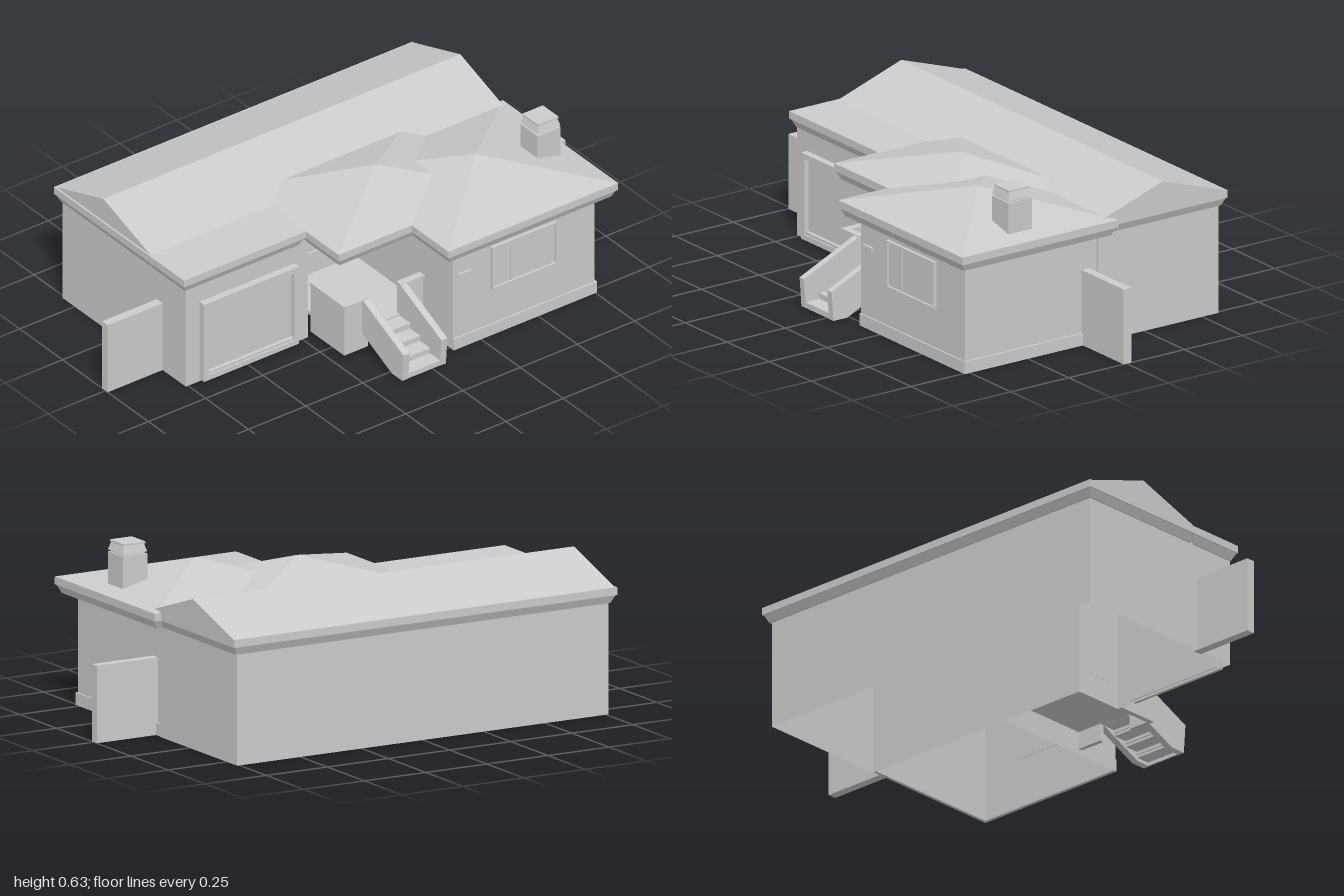
import * as THREE from 'three';
import { ConvexGeometry } from 'three/addons/geometries/ConvexGeometry.js';

const mat = new THREE.MeshStandardMaterial({ color: 0xcccccc, flatShading: true });
const thin = new THREE.MeshStandardMaterial({ color: 0xcccccc, flatShading: true, side: THREE.DoubleSide });

export function createModel() {
  const house = new THREE.Group();
  house.name = 'house';

  const add = (name, geometry, material = mat) => {
    const mesh = new THREE.Mesh(geometry, material);
    mesh.name = name;
    house.add(mesh);
    return mesh;
  };
  // box from its minimum and maximum corners
  const box = (name, x0, x1, y0, y1, z0, z1) =>
    add(name, new THREE.BoxGeometry(x1 - x0, y1 - y0, z1 - z0))
      .position.set((x0 + x1) / 2, (y0 + y1) / 2, (z0 + z1) / 2);
  const solid = (name, points) =>
    add(name, new ConvexGeometry(points.map((p) => new THREE.Vector3(...p))));
  const rect = (x0, x1, z0, z1, y) => [[x0, y, z0], [x1, y, z0], [x1, y, z1], [x0, y, z1]];
  // thin upright walls following a plan of [x, z] points
  const walls = (name, plan, h = 0.41) => {
    for (let i = 0; i + 1 < plan.length; i++) {
      const [ax, az] = plan[i], [bx, bz] = plan[i + 1];
      const m = add(name, new THREE.PlaneGeometry(Math.hypot(bx - ax, bz - az), h), thin);
      m.position.set((ax + bx) / 2, h / 2, (az + bz) / 2);
      m.rotation.y = -Math.atan2(bz - az, bx - ax);
    }
  };
  // flat fascia with a tapered soffit below
  const eave = (name, x0, x1, z0, z1) => {
    box(name + 'Fascia', x0, x1, 0.43, 0.458, z0, z1);
    const t = 0.018;
    solid(name + 'Soffit', [
      ...rect(x0 + 0.004, x1 - 0.004, z0 + 0.004, z1 - 0.004, 0.43),
      ...rect(x0 + t, x1 - t, z0 + t, z1 - t, 0.40)]);
  };
  const hipRoof = (name, x0, x1, z0, z1) =>
    solid(name, [...rect(x0, x1, z0, z1, 0.457), [(x0 + x1) / 2, 0.55, (z0 + z1) / 2]]);
  // four-sided frame facing +z with a recessed panel
  const framed = (name, x0, x1, y0, y1, z, depth, w) => {
    box(name + 'FrameLeft', x1 - w, x1, y0, y1, z, z + depth);
    box(name + 'FrameRight', x0, x0 + w, y0, y1, z, z + depth);
    box(name + 'FrameTop', x0 + w, x1 - w, y1 - w, y1, z, z + depth);
    box(name + 'FrameBottom', x0 + w, x1 - w, y0, y0 + w, z, z + depth);
    box(name + 'Panel', x0 + w, x1 - w, y0 + w, y1 - w, z, z + depth * 0.4);
  };

  // walls, open underneath
  walls('mainWall', [[-0.225, -0.05], [0.76, -0.05], [0.76, -0.57], [-0.76, -0.57],
    [-0.76, 0.148], [-0.225, 0.148], [-0.225, -0.05]]);
  walls('frontWingWall', [[0.13, -0.05], [0.13, 0.517], [0.75, 0.517], [0.75, -0.05]]);

  // base course around the front wing
  box('baseFront', 0.13, 0.757, 0, 0.045, 0.51, 0.523);
  box('baseSide', 0.745, 0.757, 0, 0.045, -0.05, 0.523);

  // roofs
  eave('mainRoof', -0.782, 0.785, -0.592, -0.04);
  eave('garageRoof', -0.782, -0.25, -0.06, 0.167);
  eave('porchRoof', -0.25, 0.49, -0.06, 0.358);
  eave('frontWingRoof', 0.07, 0.812, -0.1, 0.572);
  solid('mainGable', [-0.775, 0.785].flatMap((x) =>
    [[x, 0.457, -0.59], [x, 0.55, -0.312], [x, 0.457, -0.035]]));
  hipRoof('porchHip', -0.25, 0.49, -0.2, 0.358);
  hipRoof('frontWingHip', 0.07, 0.812, -0.1, 0.572);

  // chimney with a tapered cap
  box('chimney', 0.645, 0.745, 0.46, 0.59, 0.224, 0.325);
  box('chimneyNeck', 0.652, 0.738, 0.59, 0.597, 0.231, 0.318);
  solid('chimneyCap', [...rect(0.645, 0.745, 0.224, 0.325, 0.597),
    ...rect(0.654, 0.736, 0.232, 0.317, 0.626)]);
  box('chimneyTop', 0.65, 0.74, 0.626, 0.633, 0.229, 0.32);

  // garage door, windows, side door, wall lamp
  framed('garageDoor', -0.70, -0.285, 0.01, 0.33, 0.145, 0.03, 0.02);
  box('garageSill', -0.68, -0.305, 0.03, 0.04, 0.148, 0.17);
  framed('frontWindow', 0.295, 0.58, 0.19, 0.365, 0.515, 0.014, 0.007);
  box('windowMullion', 0.38, 0.385, 0.197, 0.358, 0.517, 0.524);
  framed('porchWindow', -0.2, -0.015, 0.19, 0.365, -0.05, 0.014, 0.007);
  box('sideDoor', -0.226, -0.207, 0.09, 0.40, 0, 0.12);
  box('wallLamp', 0.15, 0.205, 0.295, 0.308, 0.517, 0.526);

  // porch deck and solid railings
  box('porchDeck', -0.215, 0.13, 0.085, 0.1, -0.05, 0.345);
  box('porchRailSide', -0.215, -0.195, 0.02, 0.215, 0.148, 0.345);
  box('porchRailCapSide', -0.219, -0.191, 0.215, 0.225, 0.148, 0.345);
  for (const [x0, x1] of [[-0.215, -0.112], [0.027, 0.13]]) {
    box('porchRail', x0, x1, 0.02, 0.215, 0.328, 0.345);
    box('porchRailCap', x0, x1, 0.215, 0.225, 0.324, 0.352);
  }

  // stair between sloping side walls
  for (const [x0, x1] of [[-0.138, -0.112], [0.027, 0.053]]) {
    solid('stairSideWall', [x0, x1].flatMap((x) => [[x, 0.225, 0.345], [x, 0.115, 0.588],
      [x, 0.006, 0.58], [x, 0.006, 0.52], [x, 0.085, 0.345]]));
  }
  for (let i = 0; i < 4; i++) {
    const z = 0.345 + i * 0.058, y = 0.094 - i * 0.022;
    box('stairTread', -0.112, 0.027, y - 0.01, y, z, z + 0.062);
    box('stairRiser', -0.112, 0.027, y - 0.022, y, z + 0.054, z + 0.06);
  }

  // fence panels on both sides
  for (const s of [-1, 1]) {
    const a = s * 0.745;
    box('fence', Math.min(a, s), Math.max(a, s), 0, 0.278, -0.02, 0.013);
  }
  return house;
}
